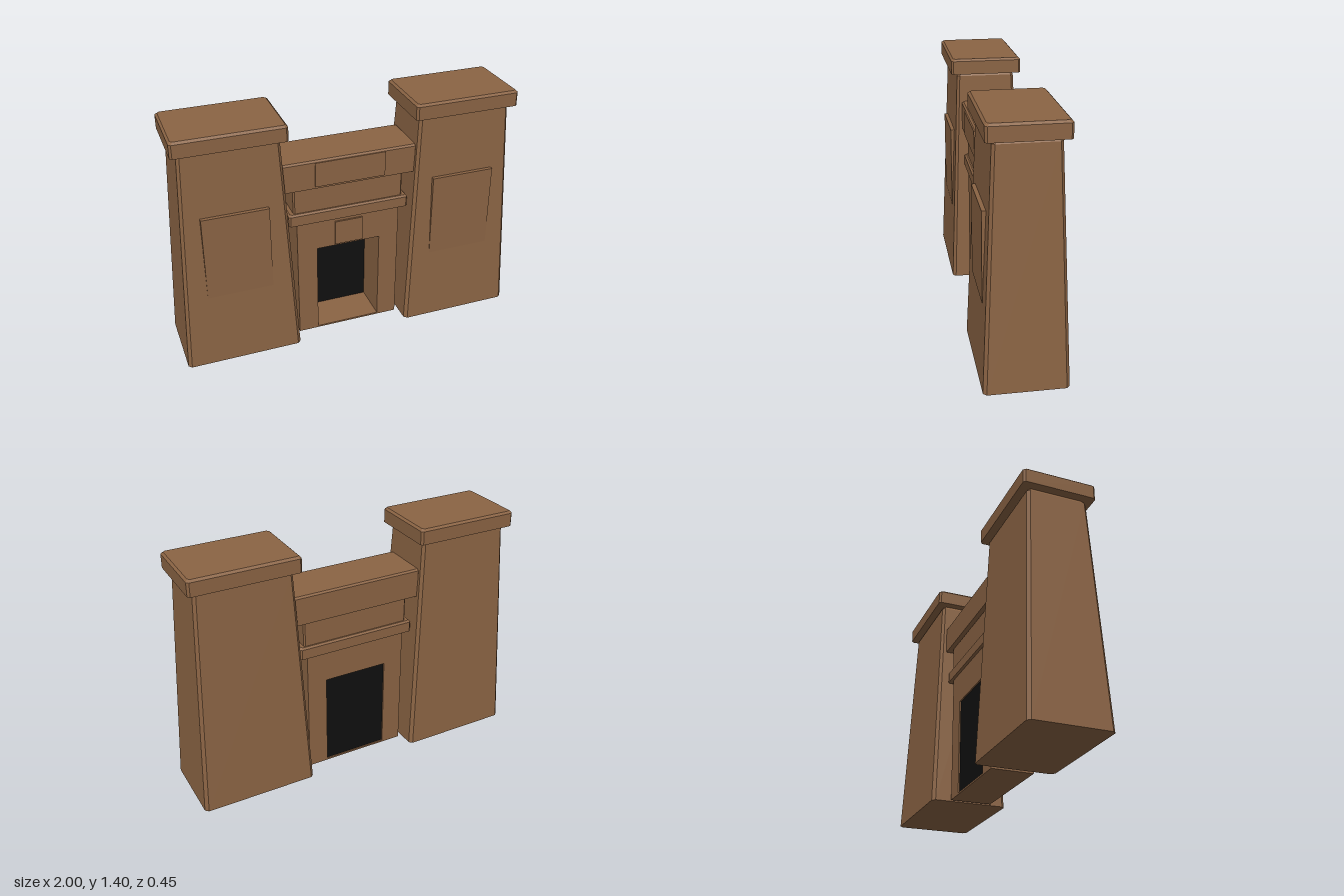
import * as THREE from 'three';

const stone = new THREE.MeshStandardMaterial({ color: 0x8b6444 });
stone.name = 'brown stone';
const dark = new THREE.MeshStandardMaterial({ color: 0x101010 });
dark.name = 'black doorway';

// Block lofted through chamfered rectangles, each [y, halfWidth, halfDepth, chamfer]
function loftBlock(sections) {
  const rings = sections.map(([y, w, d, c]) => [
    [w, y, d - c], [w, y, c - d], [w - c, y, -d], [c - w, y, -d],
    [-w, y, c - d], [-w, y, d - c], [c - w, y, d], [w - c, y, d],
  ]);
  const pos = [];
  const tri = (a, b, c) => pos.push(...a, ...b, ...c);
  for (let s = 0; s < rings.length - 1; s++) {
    const lo = rings[s], hi = rings[s + 1];
    for (let i = 0; i < 8; i++) {
      const j = (i + 1) % 8;
      tri(lo[i], lo[j], hi[j]);
      tri(lo[i], hi[j], hi[i]);
    }
  }
  const bottom = rings[0], top = rings[rings.length - 1];
  for (let i = 1; i < 7; i++) {
    tri(top[0], top[i], top[i + 1]);
    tri(bottom[0], bottom[i + 1], bottom[i]);
  }
  const geo = new THREE.BufferGeometry();
  geo.setAttribute('position', new THREE.Float32BufferAttribute(pos, 3));
  geo.computeVertexNormals();
  return geo;
}

// Straight block with small bevels on its upright and top edges
const bevelBlock = (y0, y1, w, d, b) =>
  loftBlock([[y0, w, d, b], [y1 - b, w, d, b], [y1, w - b, d - b, b]]);

// Plain box given by its limits
function box(x0, x1, y0, y1, z0, z1) {
  return new THREE.BoxGeometry(x1 - x0, y1 - y0, z1 - z0)
    .translate((x0 + x1) / 2, (y0 + y1) / 2, (z0 + z1) / 2);
}

function add(parent, name, geo, mat = stone) {
  const mesh = new THREE.Mesh(geo, mat);
  mesh.name = name;
  parent.add(mesh);
  return mesh;
}

export function createModel() {
  const model = new THREE.Group();
  model.name = 'templeGateway';

  // Two tapered towers with overhanging caps and upright relief panels
  for (const [side, name] of [[1, 'leftTower'], [-1, 'rightTower']]) {
    const tower = new THREE.Group();
    tower.name = name;
    tower.position.x = side * 0.666;
    add(tower, 'towerBody', loftBlock([
      [0, 0.334, 0.223, 0.018], [1.292, 0.271, 0.169, 0.015], [1.312, 0.257, 0.155, 0.012],
    ]));
    add(tower, 'towerCap', bevelBlock(1.31, 1.4, 0.307, 0.206, 0.012));
    add(tower, 'reliefPanel', box(-0.186, 0.186, 0.44, 0.935, 0.15, 0.206));
    model.add(tower);
  }

  const gate = new THREE.Group();
  gate.name = 'gate';
  model.add(gate);

  // Door frame: a wall with a rectangular opening above a thin sill
  const wall = new THREE.Shape([
    new THREE.Vector2(-0.307, 0), new THREE.Vector2(0.307, 0),
    new THREE.Vector2(0.307, 0.76), new THREE.Vector2(-0.307, 0.76),
  ]);
  wall.holes.push(new THREE.Path([
    new THREE.Vector2(-0.19, 0.01), new THREE.Vector2(-0.19, 0.565),
    new THREE.Vector2(0.19, 0.565), new THREE.Vector2(0.19, 0.01),
  ]));
  add(gate, 'doorFrame', new THREE.ExtrudeGeometry(wall, { depth: 0.24, bevelEnabled: false })
    .translate(0, 0, -0.12));
  add(gate, 'darkDoorway', box(-0.19, 0.19, 0.01, 0.565, -0.112, -0.104), dark);
  add(gate, 'doorPanel', box(-0.083, 0.083, 0.577, 0.725, 0.11, 0.13));

  // Stacked courses above the door
  add(gate, 'cornice', bevelBlock(0.75, 0.82, 0.355, 0.138, 0.01));
  add(gate, 'frieze', bevelBlock(0.81, 0.975, 0.324, 0.12, 0.008));
  add(gate, 'lintel', bevelBlock(0.972, 1.14, 0.395, 0.145, 0.01));
  add(gate, 'lintelPanel', box(-0.204, 0.204, 0.985, 1.13, 0.13, 0.153));

  return model;
}
